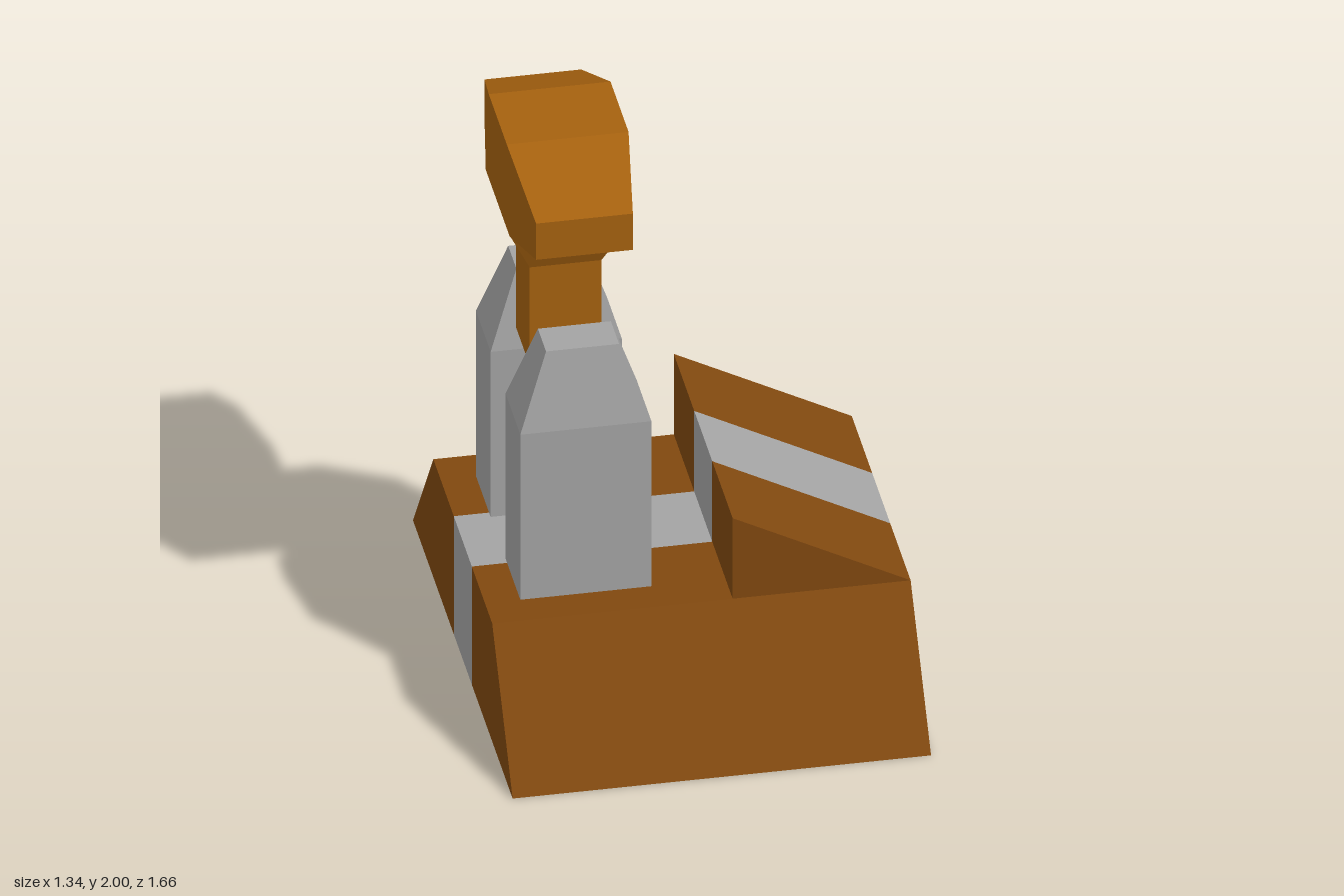
import * as THREE from 'three';

const brown = new THREE.MeshStandardMaterial({ color: 0x80480f, side: THREE.DoubleSide });
brown.name = 'darkBrown';
const amber = new THREE.MeshStandardMaterial({ color: 0xa5610f });
amber.name = 'amberBrown';
const grey = new THREE.MeshStandardMaterial({ color: 0xa3a3a3, side: THREE.DoubleSide });
grey.name = 'grey';

// flat-shaded geometry from polygons (counter-clockwise seen from outside)
function polygons(faces) {
  const pos = [];
  for (const f of faces)
    for (let i = 1; i < f.length - 1; i++) pos.push(...f[0], ...f[i], ...f[i + 1]);
  const geo = new THREE.BufferGeometry();
  geo.setAttribute('position', new THREE.Float32BufferAttribute(pos, 3));
  geo.computeVertexNormals();
  return geo;
}

// closed solid through a stack of four-cornered rings
function loft(rings) {
  const faces = [[...rings[0]].reverse(), rings[rings.length - 1]];
  for (let k = 0; k < rings.length - 1; k++)
    for (let i = 0; i < 4; i++) {
      const j = (i + 1) % 4;
      faces.push([rings[k][i], rings[k][j], rings[k + 1][j], rings[k + 1][i]]);
    }
  return polygons(faces);
}

// horizontal rectangle at height y
const level = (y, x0, x1, z0, z1) => [[x0, y, z1], [x1, y, z1], [x1, y, z0], [x0, y, z0]];
const centred = (y, hx, hz) => level(y, -hx, hx, -hz, hz);

function add(parent, name, geo, mat) {
  const mesh = new THREE.Mesh(geo, mat);
  mesh.name = name;
  parent.add(mesh);
  return mesh;
}

// hollow base: everything between z = inner and the outer edges, open below
function baseSection(inner, low, high) {
  const X = 0.67, H = 0.44, P = 0.1, T = 0.74;
  return [
    [[X, 0, low], [X, 0, inner], [X, H, inner], [X, H, high]],
    [[-X, 0, inner], [-X, 0, low], [-X, H, high], [-X, H, inner]],
    [[-X, H, high], [X, H, high], [X, H, inner], [-X, H, inner]],
    // ramp: slope and upright end
    [[P, T, high], [X, H, high], [X, T - 0.3, inner], [P, T, inner]],
    [[P, H, inner], [P, H, high], [P, T, high], [P, T, inner]],
  ];
}

export function createModel() {
  const model = new THREE.Group();

  // base with ramp, in two brown halves and a grey centre stripe
  const base = new THREE.Group();
  base.name = 'base';
  model.add(base);
  const half = [
    ...baseSection(0.15, 0.83, 0.49),
    [[-0.67, 0, 0.83], [0.67, 0, 0.83], [0.67, 0.44, 0.49], [-0.67, 0.44, 0.49]],
    [[0.1, 0.44, 0.49], [0.67, 0.44, 0.49], [0.1, 0.74, 0.49]],
  ];
  const mirrored = half.map(f => f.map(([x, y, z]) => [x, y, -z]).reverse());
  add(base, 'baseFront', polygons(half), brown);
  add(base, 'baseBack', polygons(mirrored), brown);
  add(base, 'centreStripe', polygons(baseSection(-0.15, 0.15, 0.15)), grey);

  // pair of tapered pillars
  for (const s of [1, -1]) {
    const pillar = add(model, s > 0 ? 'frontPillar' : 'backPillar', loft([
      centred(0.44, 0.21, 0.123), centred(1.055, 0.21, 0.123), centred(1.32, 0.117, 0.068),
    ]), grey);
    pillar.position.set(-0.347, 0, s * 0.247);
  }

  // hammer between the pillars
  const hammer = new THREE.Group();
  hammer.name = 'hammer';
  hammer.position.x = -0.363;
  model.add(hammer);
  add(hammer, 'handle', loft([
    centred(1.07, 0.09, 0.09), centred(1.145, 0.115, 0.115),
    centred(1.51, 0.115, 0.115), centred(1.69, 0.195, 0.197),
  ]), amber);
  const ring = (hx, y0, y1, z0, z1) => [[-hx, y0, z0], [hx, y0, z0], [hx, y1, z1], [-hx, y1, z1]];
  add(hammer, 'hammerHead', loft([
    ring(0.155, 1.74, 1.875, -0.43, -0.43), ring(0.195, 1.687, 2, -0.2, -0.15),
    ring(0.195, 1.687, 2, 0.2, 0.15), ring(0.155, 1.74, 1.875, 0.43, 0.43),
  ]), amber);

  // anvil block through the deck, with its arm underneath
  const anvil = new THREE.Group();
  anvil.name = 'anvil';
  model.add(anvil);
  const block = add(anvil, 'anvilBlock', loft([
    centred(0.01, 0.05, 0.05), centred(0.2, 0.135, 0.135),
    centred(0.44, 0.135, 0.135), centred(0.5, 0.1, 0.1),
  ]), amber);
  block.position.x = -0.363;
  add(anvil, 'anvilArm', loft([
    level(0.3, -0.3, 0.15, -0.11, 0.11), level(0.435, -0.3, 0.15, -0.11, 0.11),
  ]), amber);

  return model;
}
